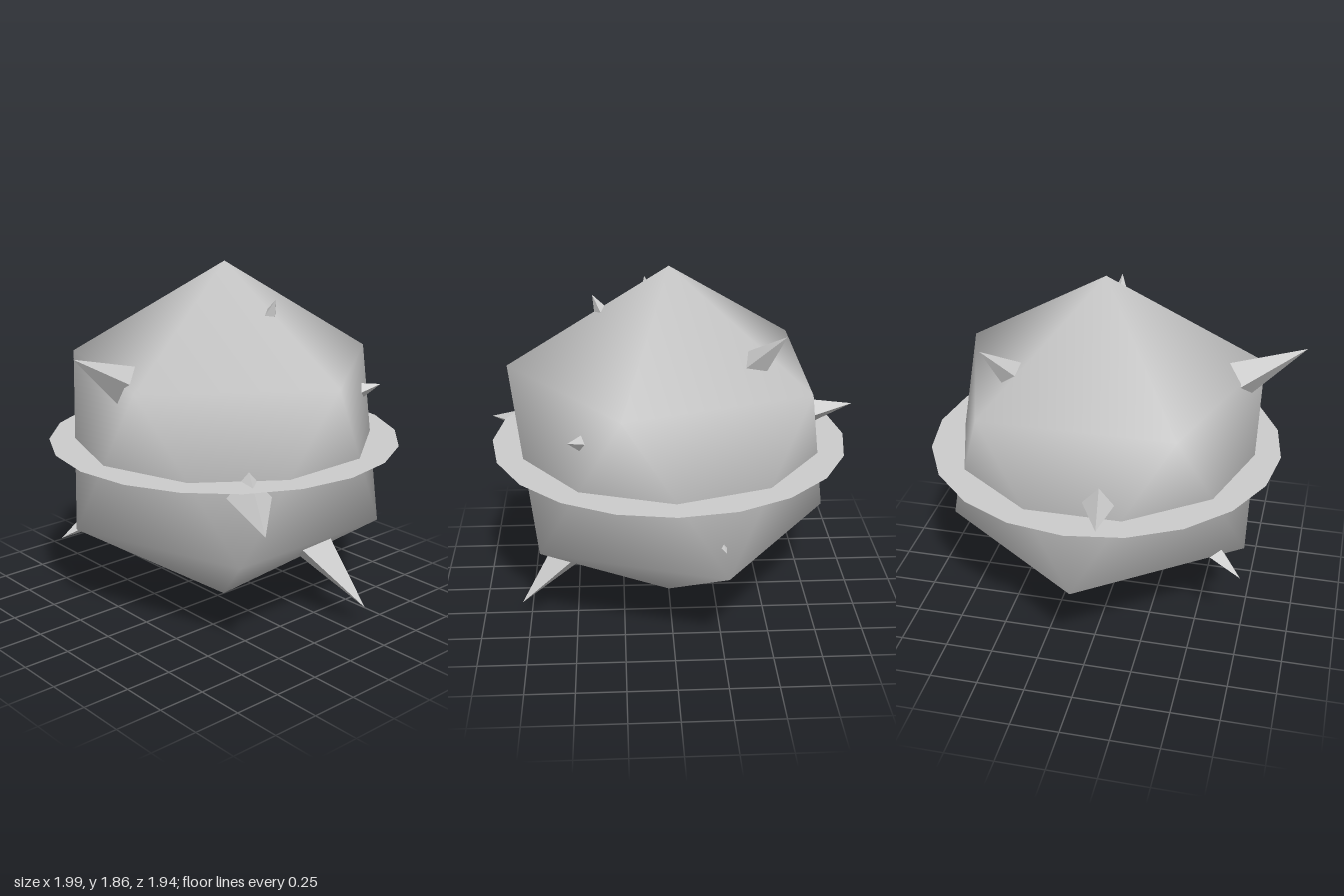
import * as THREE from 'three';

const CENTRE = new THREE.Vector3(0, 0.935, -0.045);
const RADIUS = 0.93;

// Spike kinds: distance of the tip from the centre, and half-width per unit of length
const LARGE = { reach: 1.175, slope: 0.27 };
const MEDIUM = { reach: 1.022, slope: 0.29 };
const SMALL = { reach: 0.875, slope: 0.38 };
const ROOT = 0.62; // buried start of every spike

// Kind and outward direction of each spike
const SPIKES = [
  [LARGE, 0.095, 0.59, 1.01],
  [LARGE, 0.99, -0.12, 0.625],
  [LARGE, 0.79, -0.82, -0.285],
  [MEDIUM, -0.535, 0.715, -0.495],
  [MEDIUM, -1.0, 0.1, 0.175],
  [MEDIUM, -0.4, -0.51, 0.795],
  [SMALL, 0.385, 0.785, 0],
  [SMALL, 0.51, 0.265, -0.665],
  [SMALL, -0.345, -0.785, -0.13],
  [SMALL, -0.24, -0.265, -0.805],
];

// Icosahedron standing on one corner, shaded smoothly like a ball
function bodyGeometry() {
  const geo = new THREE.IcosahedronGeometry(RADIUS, 0);
  geo.rotateZ(-Math.atan(2 / (1 + Math.sqrt(5))));
  const pos = geo.attributes.position;
  const n = new THREE.Vector3();
  for (let i = 0; i < pos.count; i++) {
    n.fromBufferAttribute(pos, i).normalize();
    geo.attributes.normal.setXYZ(i, n.x, n.y, n.z);
  }
  return geo;
}

// Four-sided spike along +z with flat faces
function spikeGeometry({ reach, slope }) {
  const length = reach - ROOT;
  const geo = new THREE.ConeGeometry(slope * length, length, 4).toNonIndexed();
  geo.rotateX(Math.PI / 2);
  geo.translate(0, 0, ROOT + length / 2);
  geo.computeVertexNormals();
  return geo;
}

export function createModel() {
  const model = new THREE.Group();
  model.name = 'spikedBall';
  const grey = new THREE.MeshStandardMaterial({ color: 0xcccccc, side: THREE.DoubleSide });
  grey.name = 'light grey';

  const add = (name, geo) => {
    const mesh = new THREE.Mesh(geo, grey);
    mesh.name = name;
    mesh.position.copy(CENTRE);
    model.add(mesh);
    return mesh;
  };

  add('body', bodyGeometry());

  // Flat ring around the equator
  add('ring', new THREE.RingGeometry(0.72, 0.927, 20).rotateX(-Math.PI / 2));

  SPIKES.forEach(([kind, x, y, z], i) => {
    const spike = add('spike' + (i + 1), spikeGeometry(kind));
    spike.lookAt(CENTRE.x + x, CENTRE.y + y, CENTRE.z + z);
  });

  return model;
}
